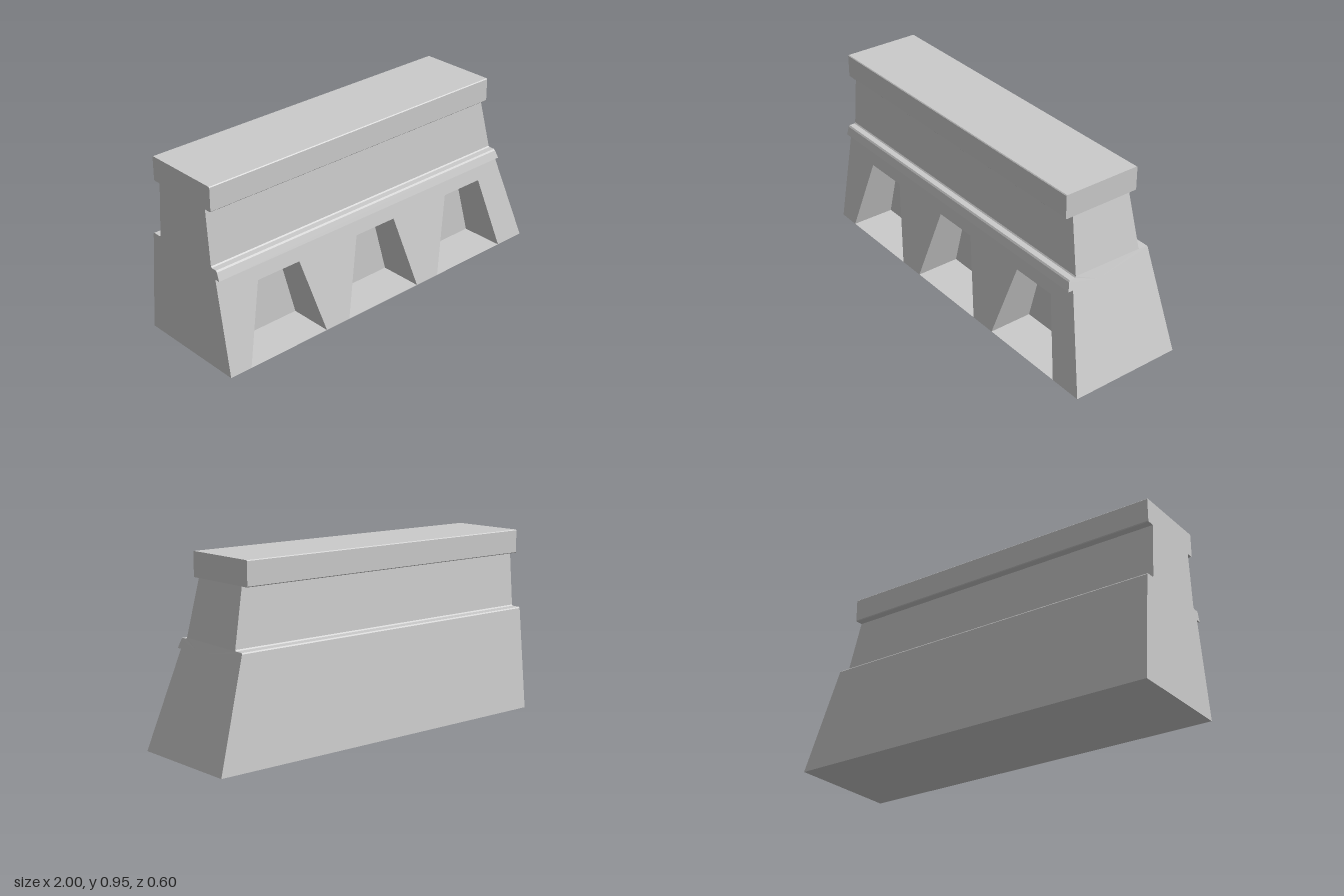
import * as THREE from 'three';

const material = new THREE.MeshStandardMaterial({ color: 0xcccccc, side: THREE.DoubleSide });
const RECESS_Z = 0.065; // depth plane of the recess back walls
const MOULD_Y = 0.49; // underside of the front moulding

// The +x end leans inward with height, with a kink at the ledge, and is plumb at the cap
function endX(y) {
  if (y <= 0.54) return 1 - 0.305 * y;
  return Math.max(0.775, 0.835 - 0.06 * (y - 0.54) / 0.286);
}

// Battered front face of the base
const frontZ = (y) => 0.3 - 0.083 * y / MOULD_Y;

function addMesh(group, name, geometry) {
  const mesh = new THREE.Mesh(geometry, material);
  mesh.name = name;
  group.add(mesh);
  return mesh;
}

// Runs a [z, y] profile along x and trims its +x end to the lean
function wallRun(profile) {
  const shape = new THREE.Shape(profile.map(([z, y]) => new THREE.Vector2(-z, y)));
  const geometry = new THREE.ExtrudeGeometry(shape, { depth: 2, bevelEnabled: false });
  geometry.rotateY(Math.PI / 2).translate(-1, 0, 0);
  const p = geometry.attributes.position;
  for (let i = 0; i < p.count; i++) if (p.getX(i) > 0) p.setX(i, endX(p.getY(i)));
  geometry.computeVertexNormals();
  return geometry;
}

export function createModel() {
  const group = new THREE.Group();
  group.name = 'barrierWall';

  // Main wall with back ledge and front moulding
  addMesh(group, 'wallBody', wallRun([
    [-0.3, 0], [RECESS_Z, 0], [RECESS_Z, MOULD_Y], [0.244, MOULD_Y],
    [0.231, 0.532], [0.225, 0.54], [0.194, 0.54], [0.189, 0.546],
    [0.167, 0.826], [-0.169, 0.826], [-0.192, 0.546], [-0.197, 0.54],
    [-0.242, 0.54], [-0.247, 0.534],
  ]));

  // Coping with slightly eased edges
  addMesh(group, 'coping', wallRun([
    [-0.207, 0.826], [0.203, 0.826], [0.207, 0.83], [0.207, 0.946],
    [0.203, 0.95], [-0.207, 0.95], [-0.211, 0.946], [-0.211, 0.83],
  ]));

  // Front panel outline, notched by three tapered recesses
  const starts = [-0.88, -0.263, 0.354];
  const outline = [[-1, 0]];
  for (const x of starts) outline.push([x, 0], [x + 0.11, 0.4], [x + 0.36, 0.4], [x + 0.47, 0]);
  outline.push([1, 0], [endX(MOULD_Y), MOULD_Y], [-1, MOULD_Y]);
  const panel = new THREE.ExtrudeGeometry(
    new THREE.Shape(outline.map(([x, y]) => new THREE.Vector2(x, y))),
    { depth: 1, bevelEnabled: false },
  );
  const p = panel.attributes.position;
  for (let i = 0; i < p.count; i++) p.setZ(i, p.getZ(i) > 0.5 ? frontZ(p.getY(i)) : RECESS_Z);
  panel.computeVertexNormals();
  addMesh(group, 'frontPanel', panel);

  // Recess floors
  for (const x of starts) {
    const floor = new THREE.PlaneGeometry(0.47, 0.3 - RECESS_Z).rotateX(-Math.PI / 2);
    addMesh(group, 'recessFloor', floor).position.set(x + 0.235, 0, (0.3 + RECESS_Z) / 2);
  }
  return group;
}
